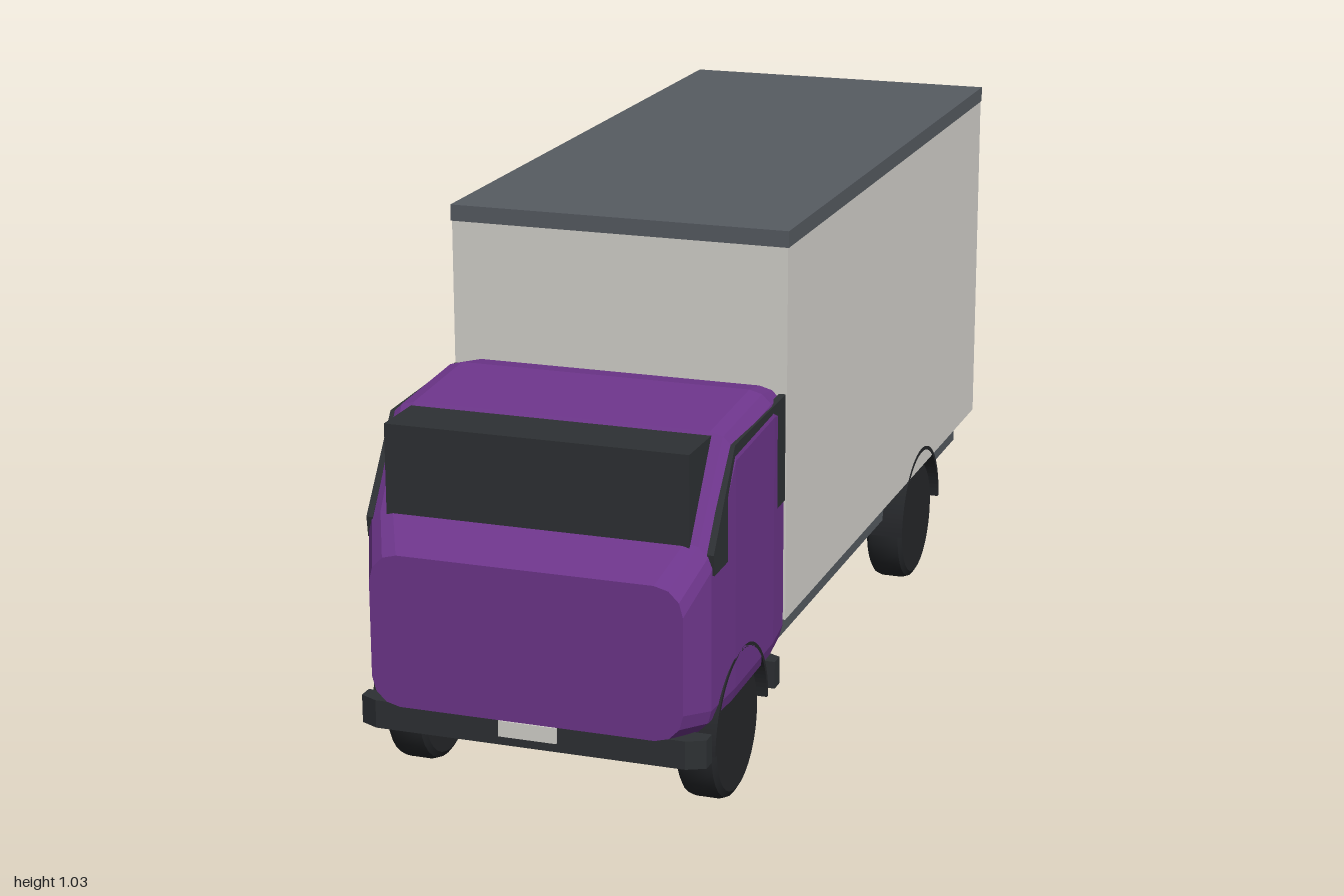
import * as THREE from 'three';
import { toCreasedNormals } from 'three/addons/utils/BufferGeometryUtils.js';

const mat = (color) => new THREE.MeshStandardMaterial({ color });
const purple = mat(0x6e368c);
purple.flatShading = true;
const white = mat(0xd6d4ce);
const steel = mat(0x575c62);
const glass = mat(0x2e3134);
const rubber = mat(0x25272a);

function add(parent, name, geometry, material) {
  const mesh = new THREE.Mesh(geometry, material);
  mesh.name = name;
  parent.add(mesh);
  return mesh;
}

// Box given by its limits on each axis
function block(parent, name, [x0, x1], [y0, y1], [z0, z1], material) {
  const mesh = add(parent, name, new THREE.BoxGeometry(x1 - x0, y1 - y0, z1 - z0), material);
  mesh.position.set((x0 + x1) / 2, (y0 + y1) / 2, (z0 + z1) / 2);
  return mesh;
}

// Rounded rectangle ring, counterclockwise as seen from the front
function ring([z, w, y0, y1, c]) {
  const corners = [[1, y0, -1], [1, y1, 1], [-1, y1, 1], [-1, y0, -1]];
  return corners.flatMap(([sx, y, sy], k) => [0, 1, 2, 3].map((j) => {
    const a = (k - 1 + j / 3) * Math.PI / 2;
    return [sx * (w - c) + c * Math.cos(a), y - sy * c + c * Math.sin(a), z];
  }));
}

// Skin over a row of rings, from back to front, with both ends closed
function loft(sections) {
  const rings = sections.map(ring);
  const n = rings[0].length;
  const index = [];
  for (let s = 0; s < rings.length - 1; s++) {
    for (let i = 0; i < n; i++) {
      const a = s * n + i, b = s * n + (i + 1) % n;
      index.push(a, b, b + n, a, b + n, a + n);
    }
  }
  const last = (rings.length - 1) * n;
  for (let i = 1; i < n - 1; i++) {
    index.push(0, i + 1, i, last, last + i, last + i + 1);
  }
  const g = new THREE.BufferGeometry();
  g.setAttribute('position', new THREE.Float32BufferAttribute(rings.flat(2), 3));
  g.setIndex(index);
  g.computeVertexNormals();
  return g;
}

// Plate drawn in (z, y) and extruded along x from x0 to x1
function sidePlate(shape, x0, x1) {
  const g = new THREE.ExtrudeGeometry(shape, { depth: x1 - x0, bevelEnabled: false, curveSegments: 24 });
  return g.rotateY(-Math.PI / 2).scale(1, 1, 1).translate(x1, 0, 0);
}

const shapeOf = (points) => new THREE.Shape(points.map(([u, v]) => new THREE.Vector2(u, v)));

export function createModel() {
  const truck = new THREE.Group();
  truck.name = 'boxTruck';

  // Cargo body
  block(truck, 'cargoBox', [-0.34, 0.34], [0.255, 0.995], [-0.985, 0.5], white);
  block(truck, 'cargoRoof', [-0.342, 0.342], [0.995, 1.027], [-0.986, 0.502], steel);
  block(truck, 'chassis', [-0.295, 0.295], [0.175, 0.255], [-0.985, 0.5], steel);
  block(truck, 'rearDoor', [-0.315, 0.315], [0.28, 0.92], [-1, -0.98], steel);

  // Cab: z, half width, bottom, top, corner radius
  add(truck, 'cab', loft([
    [0.5, 0.335, 0.195, 0.722, 0.05],
    [0.58, 0.341, 0.187, 0.737, 0.05],
    [0.81, 0.341, 0.182, 0.722, 0.05],
    [0.93, 0.335, 0.182, 0.55, 0.05],
    [1.0, 0.305, 0.19, 0.487, 0.055],
  ]), purple);
  block(truck, 'windshield', [-0.295, 0.295], [0.54, 0.716], [0.81, 0.936], glass);

  // Side windows
  const windowShape = shapeOf([[0.505, 0.5], [0.925, 0.49], [0.93, 0.53], [0.81, 0.701], [0.505, 0.711]]);
  for (const side of [1, -1]) {
    const x = side > 0 ? [0.326, 0.339] : [-0.339, -0.326];
    add(truck, side > 0 ? 'leftWindow' : 'rightWindow', sidePlate(windowShape, ...x), glass);
  }

  // Bumpers with swept corners and number plates, ahead of and behind the cab
  const bumperShape = shapeOf([[-0.34, 0.025], [-0.34, -0.005], [-0.305, -0.022], [0.305, -0.022], [0.34, -0.005], [0.34, 0.025]]);
  for (const [name, z, dir] of [['front', 0.967, 1], ['rear', 0.54, -1]]) {
    const bumper = new THREE.Group();
    bumper.name = name + 'Bumper';
    const bar = new THREE.ExtrudeGeometry(bumperShape, { depth: 0.055, bevelEnabled: false });
    add(bumper, 'bar', bar.rotateX(-Math.PI / 2).translate(0, 0.137, 0), glass);
    block(bumper, 'numberPlate', [-0.057, 0.057], [0.155, 0.186], [0.02, 0.027], white);
    bumper.rotation.y = dir > 0 ? 0 : Math.PI;
    bumper.position.z = z;
    truck.add(bumper);
  }

  // Wheels and arches
  const tyreProfile = [[0, -0.04], [0.12, -0.04], [0.131, -0.033], [0.135, -0.022],
    [0.135, 0.022], [0.131, 0.033], [0.12, 0.04], [0, 0.04]].map(([r, y]) => new THREE.Vector2(r, y));
  const tyre = toCreasedNormals(new THREE.LatheGeometry(tyreProfile, 32).rotateZ(-Math.PI / 2), 0.5);
  const archShape = new THREE.Shape();
  archShape.absarc(0, 0, 0.158, 0, Math.PI, false);
  archShape.absarc(0, 0, 0.15, Math.PI, 0, true);
  for (const [end, z] of [['front', 0.767], ['rear', -0.515]]) {
    for (const side of [1, -1]) {
      const name = end + (side > 0 ? 'Left' : 'Right');
      add(truck, name + 'Wheel', tyre, rubber).position.set(side * 0.291, 0.135, z);
      const x = side > 0 ? [0.25, 0.341] : [-0.341, -0.25];
      add(truck, name + 'Arch', sidePlate(archShape, ...x), rubber).position.set(0, 0.14, z);
    }
  }
  return truck;
}
